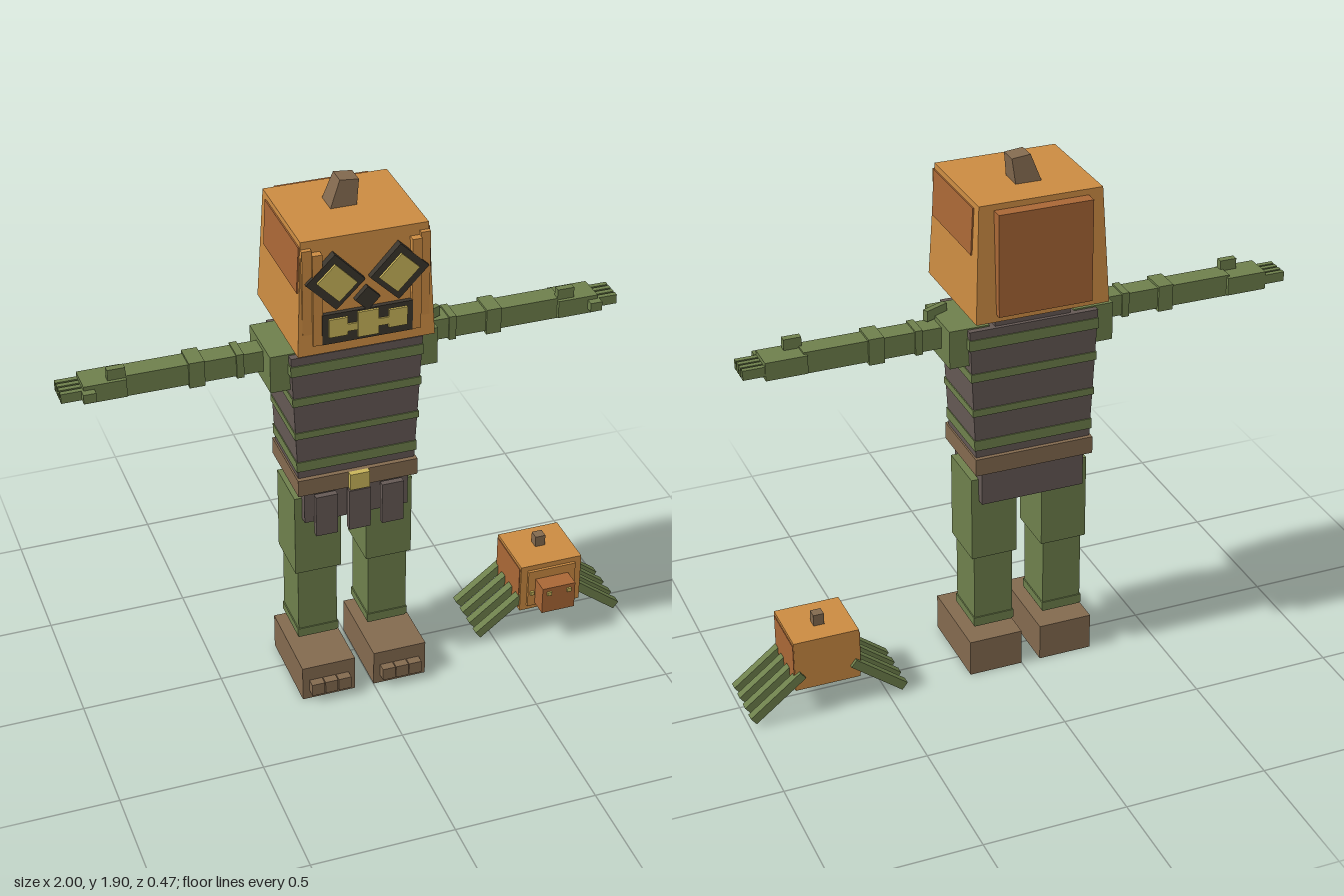
import * as THREE from 'three';

const mat = (name, color) => {
  const m = new THREE.MeshStandardMaterial({ color });
  m.name = name;
  return m;
};

export function createModel() {
  const green = mat('mossGreen', 0x6e804c);
  const cloth = mat('greyBrownCloth', 0x655955);
  const orange = mat('pumpkinOrange', 0xcb8b42);
  const rust = mat('darkOrange', 0xa96736);
  const brown = mat('leatherBrown', 0x836a4f);
  const gold = mat('gold', 0xc9b55a);
  const dark = mat('charcoal', 0x3a352d);

  const model = new THREE.Group();
  model.name = 'pumpkinGuardAndCrawler';

  const group = (name, x = 0, parent = model) => {
    const g = new THREE.Group();
    g.name = name;
    g.position.x = x;
    parent.add(g);
    return g;
  };

  // Box given by its extents on each axis
  const box = (parent, name, material, [x0, x1], [y0, y1], [z0, z1], rz = 0) => {
    const mesh = new THREE.Mesh(new THREE.BoxGeometry(x1 - x0, y1 - y0, z1 - z0), material);
    mesh.position.set((x0 + x1) / 2, (y0 + y1) / 2, (z0 + z1) / 2);
    mesh.rotation.z = rz;
    mesh.name = name;
    parent.add(mesh);
    return mesh;
  };

  // Scales the top end of a box to give straight sloping sides
  const taper = (mesh, sx, sz, shiftX = 0) => {
    const p = mesh.geometry.attributes.position;
    for (let i = 0; i < p.count; i++) {
      if (p.getY(i) > 0) {
        p.setX(i, p.getX(i) * sx + shiftX);
        p.setZ(i, p.getZ(i) * sz);
      }
    }
    mesh.geometry.computeVertexNormals();
    return mesh;
  };

  const span = (c, w) => [c - w / 2, c + w / 2];
  // Mirrored x range
  const side = (s, a, b) => (s > 0 ? [a, b] : [-b, -a]);

  const guard = group('guard', -0.034);

  // Head
  const head = group('head', 0, guard);
  taper(box(head, 'pumpkinHead', orange, span(0, 0.465), [1.41, 1.81], span(0.005, 0.43)), 0.915, 0.9);
  box(head, 'backPanel', rust, span(0, 0.325), [1.435, 1.79], [-0.232, -0.18]);
  taper(box(head, 'stem', brown, span(-0.004, 0.09), [1.8, 1.9], span(-0.025, 0.085)), 0.72, 0.78, 0.014).rotation.z = -0.1;
  for (const s of [-1, 1]) {
    const patch = box(head, 'sidePatch', rust, span(s * 0.2185, 0.008), [1.63, 1.79], [-0.15, 0.195]);
    patch.rotation.z = s * 0.05;
    box(head, 'faceRidge', orange, side(s, 0.15, 0.182), [1.445, 1.77], [0.19, 0.226]);
    box(head, 'cornerRidge', orange, side(s, 0.182, 0.214), [1.43, 1.785], [0.19, 0.216]);
  }

  // Carved face
  const face = group('face', 0, head);
  for (const s of [-1, 1]) {
    box(face, 'eyeSocket', dark, span(s * 0.107, 0.145), span(1.665, 0.135), [0.19, 0.228], s * 0.8);
    box(face, 'eye', gold, span(s * 0.104, 0.105), span(1.665, 0.085), [0.225, 0.236], s * 0.8);
    box(face, 'sideTooth', gold, side(s, 0.069, 0.132), [1.472, 1.537], [0.225, 0.236]);
    box(face, 'toothLink', gold, side(s, 0.034, 0.069), [1.484, 1.51], [0.225, 0.234]);
  }
  box(face, 'nose', dark, span(0, 0.06), span(1.588, 0.06), [0.19, 0.228], Math.PI / 4);
  box(face, 'mouth', dark, span(0, 0.305), [1.445, 1.553], [0.19, 0.228]);
  box(face, 'middleTooth', gold, span(0, 0.07), [1.457, 1.548], [0.225, 0.236]);

  // Torso, narrower at the waist, with raised stripes all round
  const torso = group('torso', 0, guard);
  box(torso, 'neck', cloth, span(0, 0.268), [1.33, 1.39], span(-0.008, 0.235));
  taper(box(torso, 'shirt', cloth, span(0, 0.41), [0.85, 1.35], span(-0.005, 0.252)), 1.11, 1.06);
  for (const [y0, y1] of [[0.905, 0.942], [1.035, 1.06], [1.165, 1.195], [1.282, 1.32]]) {
    const t = ((y0 + y1) / 2 - 0.85) / 0.5;
    box(torso, 'stripe', green, span(0, 0.418 + 0.045 * t), [y0, y1], span(-0.005, 0.26 + 0.015 * t));
  }

  // Belt and hanging flaps
  box(torso, 'belt', brown, span(0, 0.424), [0.815, 0.877], span(-0.004, 0.285));
  box(torso, 'buckle', gold, span(0, 0.07), [0.815, 0.877], [0.13, 0.159]);
  box(torso, 'hips', cloth, span(0, 0.37), [0.69, 0.82], span(-0.005, 0.25));
  for (const x of [-0.118, 0, 0.118]) {
    box(torso, 'flap', cloth, span(x, 0.077), [0.653, 0.81], [0.135, 0.157]);
  }

  for (const s of [-1, 1]) {
    // Leg and shoe
    const leg = group(s > 0 ? 'leftLeg' : 'rightLeg', 0, guard);
    box(leg, 'thigh', green, side(s, 0.046, 0.211), [0.462, 0.773], [-0.1, 0.09]);
    box(leg, 'shin', green, side(s, 0.058, 0.199), [0.175, 0.458], [-0.088, 0.078]);
    box(leg, 'ankleBand', green, side(s, 0.054, 0.203), [0.182, 0.213], [-0.092, 0.082]);
    box(leg, 'shoe', brown, side(s, 0.035, 0.228), [0, 0.134], [-0.12, 0.205]);
    for (const x of [0.082, 0.131, 0.18]) {
      box(leg, 'toe', brown, span(s * x, 0.046), [0.032, 0.079], [0.19, 0.236]);
    }

    // Arm held straight out
    const arm = group(s > 0 ? 'leftArm' : 'rightArm', 0, guard);
    box(arm, 'shoulder', green, side(s, 0.15, 0.29), [1.22, 1.355], [-0.118, 0.103]);
    box(arm, 'sleeve', green, side(s, 0.28, 0.76), [1.262, 1.338], [-0.045, 0.03]);
    box(arm, 'elbowBand', green, side(s, 0.49, 0.543), [1.253, 1.346], [-0.054, 0.039]);
    box(arm, 'upperBand', green, side(s, 0.357, 0.382), [1.256, 1.344], [-0.051, 0.036]);
    box(arm, 'cuffKnob', green, side(s, 0.75, 0.81), [1.32, 1.37], [0.005, 0.03]);
    box(arm, 'hand', green, side(s, 0.75, 0.892), [1.268, 1.332], [-0.058, 0.043]);
    box(arm, 'thumb', green, side(s, 0.857, 0.899), [1.285, 1.318], [0.04, 0.069]);
    for (const z of [-0.045, -0.02, 0.005, 0.03]) {
      box(arm, 'finger', green, side(s, 0.87, 0.966), [1.283, 1.317], span(z, 0.018));
    }
  }
  // Small leaf on one shoulder
  const leaf = box(guard, 'shoulderLeaf', green, [0.24, 0.33], [1.345, 1.383], span(0.025, 0.02));
  leaf.rotation.y = 0.42;

  // Small crawler standing beside the guard
  const crawler = group('crawler', 0.714);
  box(crawler, 'body', orange, span(0, 0.233), [0.1, 0.29], [-0.115, 0.104]);
  box(crawler, 'frontPlate', orange, span(0, 0.182), [0.12, 0.27], [0.1, 0.114]);
  box(crawler, 'snout', rust, span(0, 0.126), [0.13, 0.235], [0.11, 0.18]);
  box(crawler, 'crawlerStem', brown, span(0, 0.038), [0.28, 0.332], span(-0.018, 0.036));
  for (const s of [-1, 1]) {
    box(crawler, 'crawlerSide', rust, span(s * 0.1165, 0.006), [0.112, 0.278], [-0.113, 0.095]);
    box(crawler, 'outerEye', gold, span(s * 0.076, 0.014), span(0.178, 0.014), [0.11, 0.122]);
    box(crawler, 'snoutEye', gold, span(s * 0.038, 0.016), span(0.213, 0.014), [0.175, 0.187]);
    for (const z of [0.083, 0.02, -0.046, -0.112]) {
      box(crawler, 'crawlerLeg', green, span(s * 0.182, 0.23), span(0.093, 0.032), span(z, 0.03), -s * 0.66);
    }
  }

  return model;
}
